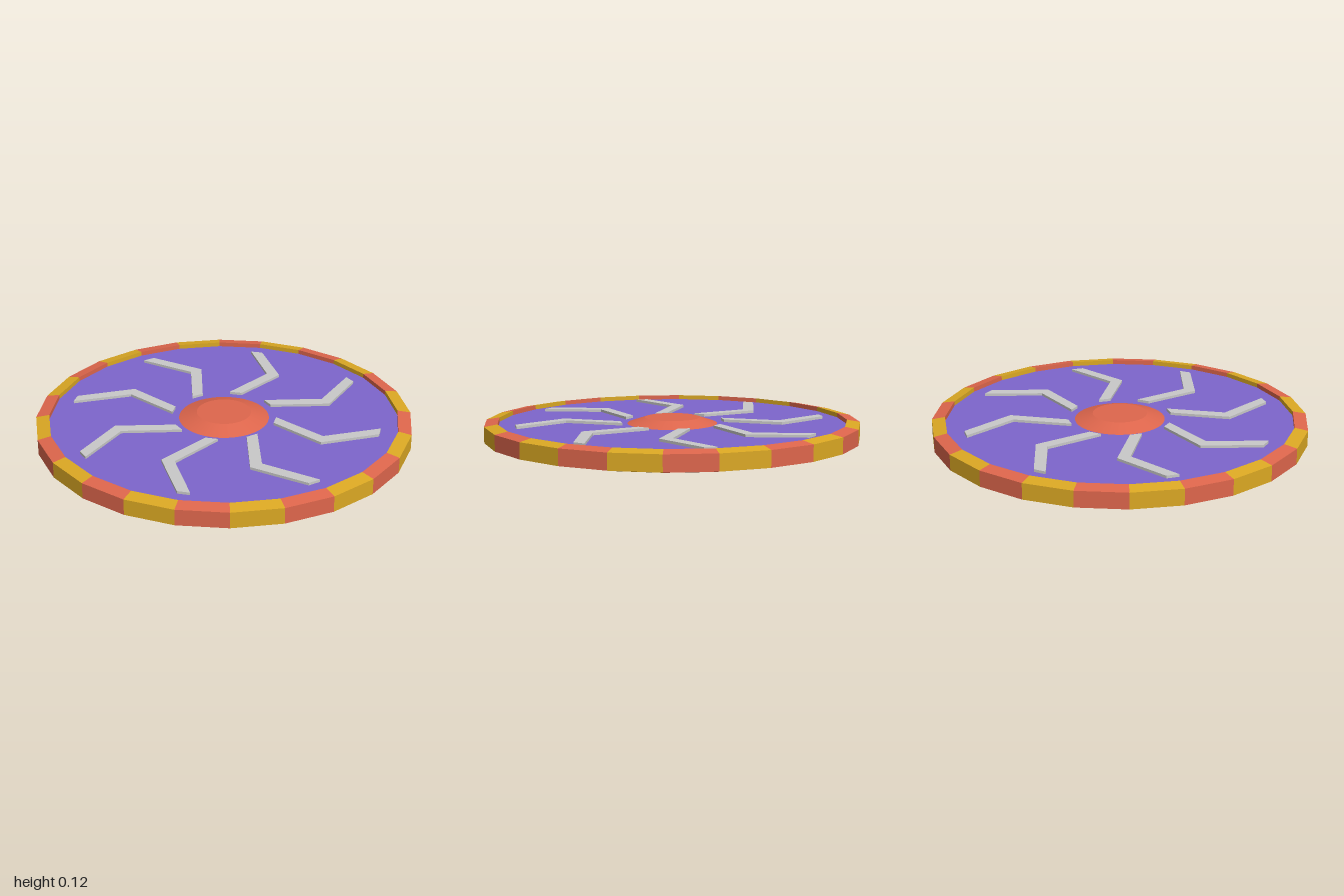
import * as THREE from 'three';

const SIDES = 24;

function material(name, color) {
  const m = new THREE.MeshStandardMaterial({ color });
  m.name = name;
  return m;
}

export function createModel() {
  const purple = material('purple', 0x7d65cb);
  const orange = material('orange', 0xde664c);
  const gold = material('gold', 0xdba823);
  const silver = material('silver', 0xc8c8c8);

  const model = new THREE.Group();
  model.name = 'roundShield';
  const add = (name, geometry, mat, y = 0, parent = model) => {
    const mesh = new THREE.Mesh(geometry, mat);
    mesh.name = name;
    mesh.position.y = y;
    parent.add(mesh);
    return mesh;
  };

  // Disc, recessed a little above and below the rim
  const disc = new THREE.CylinderGeometry(0.93, 0.93, 0.066, SIDES).toNonIndexed();
  disc.computeVertexNormals();
  add('disc', disc, purple, 0.055);

  // Bevelled rim made of alternating faceted blocks
  const rim = new THREE.Group();
  rim.name = 'rim';
  model.add(rim);
  const profile = [[0.93, 0], [1, 0.015], [1, 0.1], [0.93, 0.112], [0.93, 0]]
    .map(([r, y]) => new THREE.Vector2(r, y));
  const step = (Math.PI * 2) / SIDES;
  for (let i = 0; i < SIDES; i++) {
    const block = new THREE.LatheGeometry(profile, 1, i * step, step).toNonIndexed();
    block.computeVertexNormals();
    add('rimBlock', block, i % 2 ? orange : gold, 0, rim);
  }

  // Central boss with a flat top
  add('boss', new THREE.CylinderGeometry(0.145, 0.255, 0.037, 48), orange, 0.1015);

  // Eight raised bent bars around the boss
  const outline = [[0.277, -0.033], [0.555, 0.12], [0.835, -0.033],
    [0.835, 0.033], [0.555, 0.19], [0.277, 0.033]]
    .map(([x, y]) => new THREE.Vector2(x, y));
  const bar = new THREE.ExtrudeGeometry(new THREE.Shape(outline), { depth: 0.025, bevelEnabled: false });
  bar.rotateX(Math.PI / 2);
  for (let i = 0; i < 8; i++) {
    add('bentBar', bar, silver, 0.102).rotation.y = (i * Math.PI) / 4;
  }

  return model;
}
